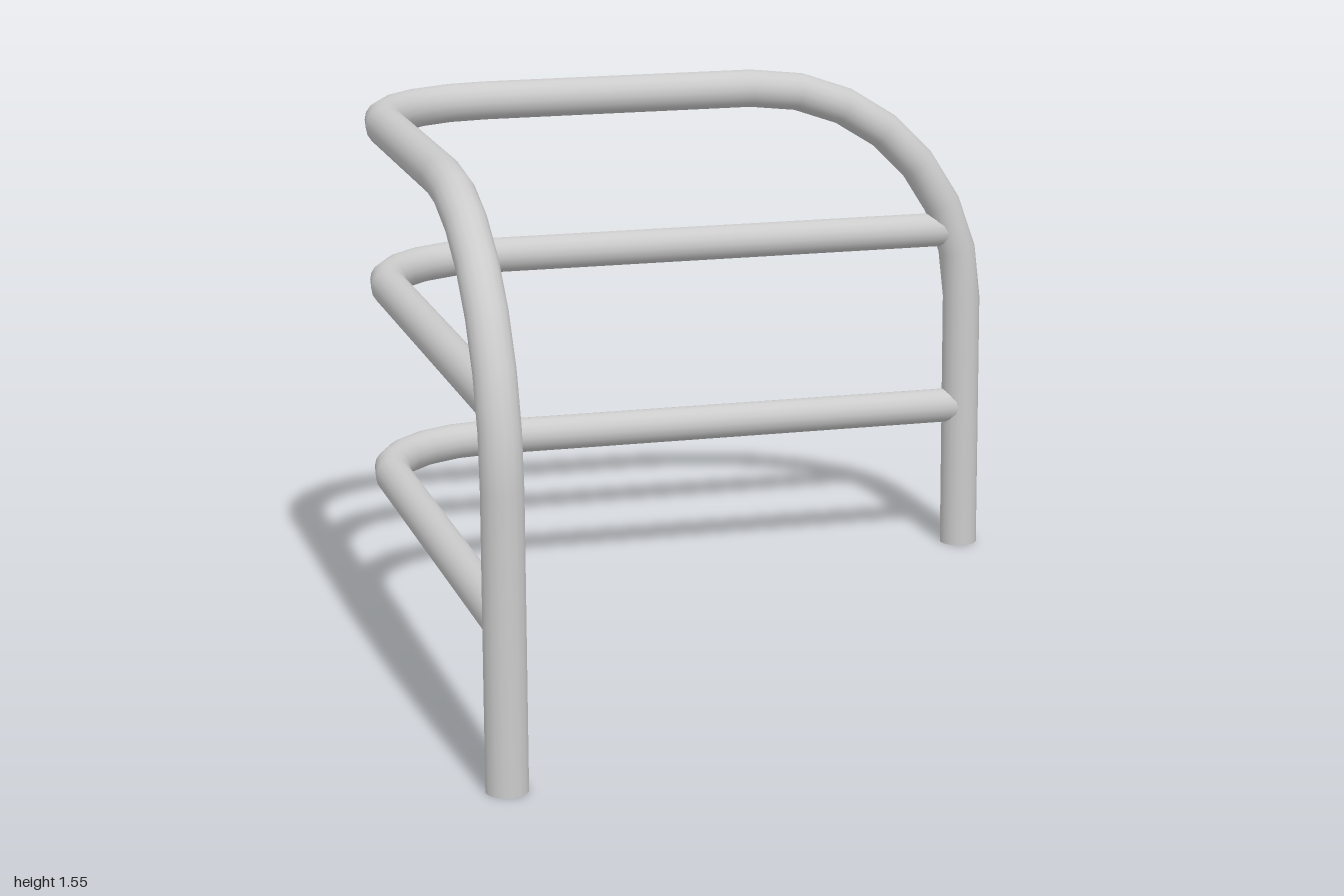
import * as THREE from 'three';

const P = 0.9425;      // distance of the pipe centre lines from the middle
const TOP = 1.49;      // height of the top pipe's centre line
const BEND = 0.69;     // radius of the bends above the legs
const CORNER = 0.37;   // radius of the horizontal corner bend
const SIDES = 16;

const V = (x, y, z) => new THREE.Vector3(x, y, z);

// Pipe path: a list of stations, each with a point and a tangent
class PipePath extends THREE.Curve {
  constructor(stations) {
    super();
    this.stations = stations;
  }
  at(u) {
    return this.stations[Math.round(u * (this.stations.length - 1))];
  }
  getPointAt(u) { return this.at(u).p.clone(); }
  getTangentAt(u) { return this.at(u).t.clone(); }
}

// Quarter bend around a centre, from direction u towards direction v
function bend(center, u, v, radius, segments) {
  const out = [];
  for (let i = 0; i <= segments; i++) {
    const a = (i / segments) * Math.PI / 2;
    const c = Math.cos(a), s = Math.sin(a);
    out.push({
      p: center.clone().addScaledVector(u, radius * c).addScaledVector(v, radius * s),
      t: u.clone().multiplyScalar(-s).addScaledVector(v, c),
    });
  }
  return out;
}

// Horizontal corner, running from the back side to the right side
const corner = (y) =>
  bend(V(-P + CORNER, y, -P + CORNER), V(0, 0, -1), V(-1, 0, 0), CORNER, 5);

function pipe(name, stations, radius, material) {
  const geometry = new THREE.TubeGeometry(
    new PipePath(stations), stations.length - 1, radius, SIDES, false);
  const mesh = new THREE.Mesh(geometry, material);
  mesh.name = name;
  return mesh;
}

export function createModel() {
  const group = new THREE.Group();
  group.name = 'cornerRailing';
  const material = new THREE.MeshStandardMaterial({ color: 0xcccccc, side: THREE.DoubleSide });

  // Main frame: leg, bend, top bar with corner, bend, leg
  const X = V(1, 0, 0), Y = V(0, 1, 0), Z = V(0, 0, 1);
  const frame = [
    { p: V(P, 0, -P), t: Y.clone() },
    ...bend(V(P - BEND, TOP - BEND, -P), X, Y, BEND, 7),
    ...corner(TOP),
    ...bend(V(-P, TOP - BEND, P - BEND), Y, Z, BEND, 7),
    { p: V(-P, 0, P), t: V(0, -1, 0) },
  ];
  group.add(pipe('mainFrame', frame, 0.0575, material));

  // Caps under the two legs
  for (const [name, x, z] of [['leftFootCap', P, -P], ['rightFootCap', -P, P]]) {
    const cap = new THREE.Mesh(new THREE.CircleGeometry(0.0575, SIDES), material);
    cap.name = name;
    cap.rotation.x = Math.PI / 2;
    cap.position.set(x, 0, z);
    group.add(cap);
  }

  // Two cross rails ending inside the frame
  for (const [name, y] of [['lowerRail', 0.45], ['upperRail', 1.017]]) {
    const rise = Math.max(0, y - (TOP - BEND));
    const end = P - BEND + Math.sqrt(BEND * BEND - rise * rise);
    const path = [
      { p: V(end, y, -P), t: V(-1, 0, 0) },
      ...corner(y),
      { p: V(-P, y, end), t: V(0, 0, 1) },
    ];
    group.add(pipe(name, path, 0.053, material));
  }
  return group;
}
